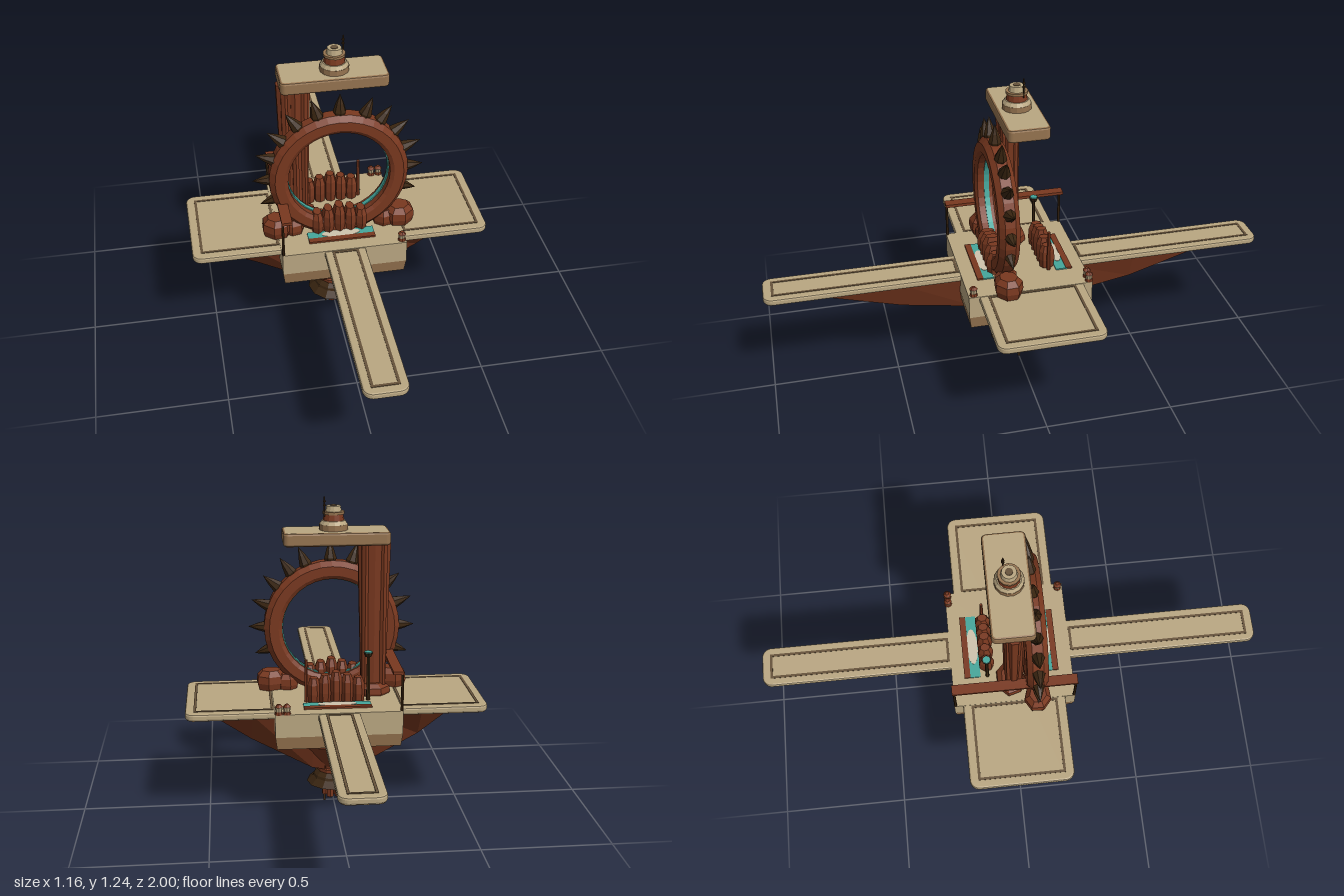
import * as THREE from 'three';

const mat = (name, color) => {
  const m = new THREE.MeshStandardMaterial({ color, flatShading: true, side: THREE.DoubleSide });
  m.name = name;
  return m;
};

export function createModel() {
  const tan = mat('sandstone', 0xbaa782), sand = mat('weathered sandstone', 0x967450);
  const rust = mat('rust brown', 0x79381f), dark = mat('dark bronze', 0x3b2611);
  const teal = mat('teal', 0x45a79c), groove = mat('groove brown', 0x66523a);
  const pale = mat('pale stone', 0xcfc5ae);
  const root = new THREE.Group();
  root.name = 'floatingPortalPlatform';

  const add = (name, geo, m, x = 0, y = 0, z = 0, parent = root) => {
    const mesh = new THREE.Mesh(geo, m);
    mesh.name = name;
    mesh.position.set(x, y, z);
    parent.add(mesh);
    return mesh;
  };
  const box = (name, w, h, d, m, x, y, z) => add(name, new THREE.BoxGeometry(w, h, d), m, x, y, z);
  const cyl = (name, rTop, rBottom, h, sides, m, x, y, z) =>
    add(name, new THREE.CylinderGeometry(rTop, rBottom, h, sides), m, x, y, z);
  const latheGeo = (pts, sides) => new THREE.LatheGeometry(pts.map(p => new THREE.Vector2(...p)), sides);
  const lathe = (name, pts, sides, m) => add(name, latheGeo(pts, sides), m);

  // Rounded horizontal slab with softened rims; y is its underside
  const roundRect = (w, d, r) => {
    const s = new THREE.Shape(), a = w / 2 - r, b = d / 2 - r;
    s.absarc(a, b, r, 0, Math.PI / 2);
    s.absarc(-a, b, r, Math.PI / 2, Math.PI);
    s.absarc(-a, -b, r, Math.PI, Math.PI * 1.5);
    s.absarc(a, -b, r, Math.PI * 1.5, Math.PI * 2);
    return s;
  };
  const slab = (name, w, d, h, r, bevel, m, x, y, z) => {
    const geo = new THREE.ExtrudeGeometry(roundRect(w - 2 * bevel, d - 2 * bevel, r), {
      depth: h - 2 * bevel, bevelEnabled: true, bevelSize: bevel, bevelThickness: bevel,
      bevelSegments: 2, curveSegments: 5 });
    geo.rotateX(-Math.PI / 2).translate(0, bevel, 0);
    return add(name, geo, m, x, y, z);
  };

  // Cross shaped deck with weathered undersides
  slab('wideDeck', 1.16, 0.41, 0.026, 0.03, 0.007, tan, 0, 0.433, -0.003);
  slab('wideDeckUnderside', 1.148, 0.398, 0.006, 0.027, 0.001, sand, 0, 0.431, -0.003);
  slab('longDeck', 0.16, 2, 0.025, 0.03, 0.007, tan, 0, 0.4325, 0);
  slab('longDeckUnderside', 0.148, 1.988, 0.006, 0.027, 0.001, sand, 0, 0.4305, 0);
  box('deckHub', 0.485, 0.091, 0.485, tan, 0, 0.4155, 0);
  const hubBase = new THREE.CylinderGeometry(0.2425 * Math.SQRT2, 0.236 * Math.SQRT2, 0.05, 4, 1);
  hubBase.rotateY(Math.PI / 4);
  add('hubBase', hubBase, sand, 0, 0.345, 0);

  // Inset line frames on the four arms
  const frame = (name, x0, x1, z0, z1, y) => {
    const t = 0.01, w = x1 - x0, d = z1 - z0, cx = (x0 + x1) / 2, cz = (z0 + z1) / 2;
    for (const z of [z0, z1]) box(name, w + t, 0.004, t, groove, cx, y, z);
    for (const x of [x0, x1]) box(name, t, 0.004, d - t, groove, x, y, cz);
  };
  frame('leftInlay', 0.25, 0.543, -0.17, 0.164, 0.459);
  frame('rightInlay', -0.543, -0.25, -0.17, 0.164, 0.459);
  frame('frontInlay', -0.046, 0.046, 0.25, 0.963, 0.4575);
  frame('backInlay', -0.046, 0.046, -0.963, -0.25, 0.4575);

  // Keel from sections: [distance outward, top half width, bottom y, bottom half width]
  const keel = (name, sections, turn) => {
    const pos = [], idx = [];
    for (const [t, hw, by, hb] of sections)
      pos.push(-hw, 0.438, t, hw, 0.438, t, hb, by, t, -hb, by, t);
    for (let i = 0; i < sections.length - 1; i++)
      for (let j = 0; j < 4; j++) {
        const a = i * 4 + j, b = i * 4 + (j + 1) % 4;
        idx.push(a, a + 4, b, b, a + 4, b + 4);
      }
    const e = (sections.length - 1) * 4;
    idx.push(e, e + 2, e + 1, e, e + 3, e + 2);
    const geo = new THREE.BufferGeometry();
    geo.setAttribute('position', new THREE.Float32BufferAttribute(pos, 3));
    geo.setIndex(idx);
    geo.computeVertexNormals();
    add(name, geo, rust).rotation.y = turn;
  };
  for (const s of [0, Math.PI]) {
    keel('longKeel', [[0.05, 0.07, 0.255, 0.025], [0.18, 0.07, 0.267, 0.022],
      [0.47, 0.065, 0.318, 0.022], [0.85, 0.04, 0.43, 0.015]], s);
    keel('wideKeel', [[0.04, 0.17, 0.155, 0.05], [0.09, 0.17, 0.168, 0.06],
      [0.33, 0.165, 0.3, 0.06], [0.49, 0.14, 0.432, 0.08]], s + Math.PI / 2);
  }

  // Central underside, flared skirt, stem and prongs
  lathe('centralHull', [[0, 0.14], [0.055, 0.14], [0.06, 0.165], [0.165, 0.28], [0.165, 0.33]], 10, rust);
  lathe('collar', [[0.05, 0.135], [0.065, 0.138], [0.065, 0.152], [0.05, 0.158]], 12, rust);
  lathe('skirt', [[0.04, 0.1], [0.108, 0.088], [0.083, 0.112], [0.08, 0.122], [0.062, 0.139]], 12, dark);
  cyl('stem', 0.03, 0.03, 0.1, 8, rust, 0, 0.085, 0);
  for (let i = 0; i < 6; i++) {
    const a = i * Math.PI / 3;
    cyl('stemRib', 0.015, 0.015, 0.08, 6, rust, Math.cos(a) * 0.033, 0.069, Math.sin(a) * 0.033);
  }
  for (const s of [-1, 1]) box('prong', 0.007, 0.06, 0.01, dark, s * 0.037, 0.03, 0);

  // Spiked portal ring with a narrow glowing lining
  const portal = new THREE.Group();
  portal.name = 'portal';
  portal.position.set(0, 0.712, 0.085);
  root.add(portal);
  const ringGeo = latheGeo([[0.197, -0.03], [0.212, -0.04], [0.248, -0.04], [0.268, -0.02], [0.268, 0.02],
    [0.248, 0.04], [0.212, 0.04], [0.197, 0.03], [0.197, -0.03]], 36);
  ringGeo.rotateX(Math.PI / 2);
  add('portalRing', ringGeo, rust, 0, 0, 0, portal);
  const lining = new THREE.CylinderGeometry(0.193, 0.193, 0.02, 36, 1, true);
  lining.rotateX(Math.PI / 2);
  add('portalLining', lining, teal, 0, 0, -0.006, portal);
  const liningEdge = new THREE.RingGeometry(0.193, 0.198, 36);
  for (const z of [-0.016, 0.004]) add('portalLiningEdge', liningEdge, teal, 0, 0, z, portal);
  const spikeGeo = latheGeo([[0.018, 0], [0.025, 0.028], [0.015, 0.062], [0, 0.1]], 7);
  for (const deg of [-19, 1, 20, 38, 54, 68, 89, 107, 125, 142, 160, 180, 200]) {
    const a = THREE.MathUtils.degToRad(deg), r = 0.23 + 0.018 * Math.sin(a);
    const spike = add('spike', spikeGeo, dark, Math.cos(a) * r, Math.sin(a) * r, 0, portal);
    spike.rotation.z = a - Math.PI / 2;
  }

  // Blocky boulders and lobes around the ring base
  const rock = latheGeo([[0, -1], [0.85, -0.95], [1, -0.2], [0.95, 0.5], [0.62, 1], [0, 1]], 7);
  const lump = (name, x, y, z, sx, sy, sz, turn = 0) => {
    const m = add(name, rock, rust, x, y, z);
    m.scale.set(sx, sy, sz);
    m.rotation.y = turn;
  };
  for (const s of [-1, 1]) {
    lump('boulder', s * 0.243, 0.495, 0.09, 0.062, 0.041, 0.055, s * 0.3);
    lump('boulder', s * 0.18, 0.485, 0.085, 0.045, 0.037, 0.048, 0.7);
  }
  for (let i = -2; i <= 2; i++) {
    const h = 0.06 - Math.abs(i) * 0.006;
    lump('frontLobe', i * 0.043, 0.455 + h, 0.1, 0.026, h, 0.042);
    lump('backLobe', i * 0.043, 0.458 + h, -0.1, 0.026, h + 0.004, 0.032);
  }
  lump('pillarFoot', -0.15, 0.475, -0.01, 0.075, 0.03, 0.06);

  // Ribbed pillar
  const shaft = new THREE.CylinderGeometry(0.067, 0.05, 0.62, 10);
  shaft.scale(1, 1, 0.58);
  add('pillar', shaft, rust, -0.156, 0.765, 0);
  for (const [x, z] of [[-0.19, 0.022], [-0.12, 0.022], [-0.155, 0.03], [-0.19, -0.022], [-0.12, -0.022]])
    cyl('pillarRib', 0.017, 0.012, 0.61, 6, rust, x, 0.765, z);

  // Roof with weathered sides, stepped turret and antenna
  slab('roof', 0.405, 0.16, 0.05, 0.012, 0.008, [tan, sand], -0.008, 1.065, -0.003);
  box('roofUnderside', 0.38, 0.004, 0.136, rust, -0.008, 1.065, -0.003);
  cyl('turretBase', 0.055, 0.055, 0.024, 14, sand, 0, 1.125, 0);
  cyl('turretStep', 0.045, 0.054, 0.014, 14, tan, 0, 1.144, 0);
  cyl('turretMiddle', 0.036, 0.041, 0.028, 12, rust, 0, 1.164, 0);
  cyl('turretBand', 0.042, 0.042, 0.01, 12, sand, 0, 1.18, 0);
  cyl('turretCap', 0.027, 0.031, 0.022, 12, tan, 0, 1.195, 0);
  cyl('turretVent', 0.014, 0.014, 0.004, 10, groove, 0, 1.206, 0);
  cyl('antenna', 0.003, 0.003, 0.075, 5, dark, 0.036, 1.205, -0.018);
  for (const y of [1.21, 1.225]) cyl('antennaBead', 0.006, 0.006, 0.005, 6, dark, 0.036, y, -0.018);

  // Pools and steps before and behind the ring
  for (const [z, s] of [[0.145, 1], [-0.15, -1]]) {
    box('pool', 0.26, 0.006, 0.045, teal, 0, 0.463, z);
    const disc = cyl('poolStone', 1, 1, 0.007, 20, pale, 0, 0.464, z);
    disc.scale.set(0.075, 1, 0.022);
    box('step', 0.26, 0.008, 0.024, rust, 0, 0.464, z + s * 0.03);
  }

  // Side railing
  box('handrail', 0.04, 0.012, 0.49, rust, -0.222, 0.612, 0);
  for (const s of [-1, 1]) cyl('railPost', 0.005, 0.006, 0.15, 6, dark, -0.238, 0.535, s * 0.237);

  // Lamp posts and corner lanterns
  cyl('lampPost', 0.006, 0.008, 0.19, 6, dark, -0.125, 0.55, -0.1);
  cyl('lampHead', 0.019, 0.012, 0.016, 8, dark, -0.125, 0.645, -0.1);
  cyl('lampGlass', 0.015, 0.015, 0.005, 8, teal, -0.125, 0.655, -0.1);
  cyl('shortPost', 0.006, 0.008, 0.17, 6, rust, 0.115, 0.545, -0.1);
  for (const [x, z] of [[0.198, -0.232], [0.228, -0.232], [0.226, 0.222]]) {
    cyl('lanternBase', 0.013, 0.016, 0.012, 8, rust, x, 0.466, z);
    cyl('lanternBody', 0.015, 0.012, 0.018, 8, tan, x, 0.481, z);
    cyl('lanternCap', 0.007, 0.016, 0.01, 8, rust, x, 0.495, z);
  }
  return root;
}
